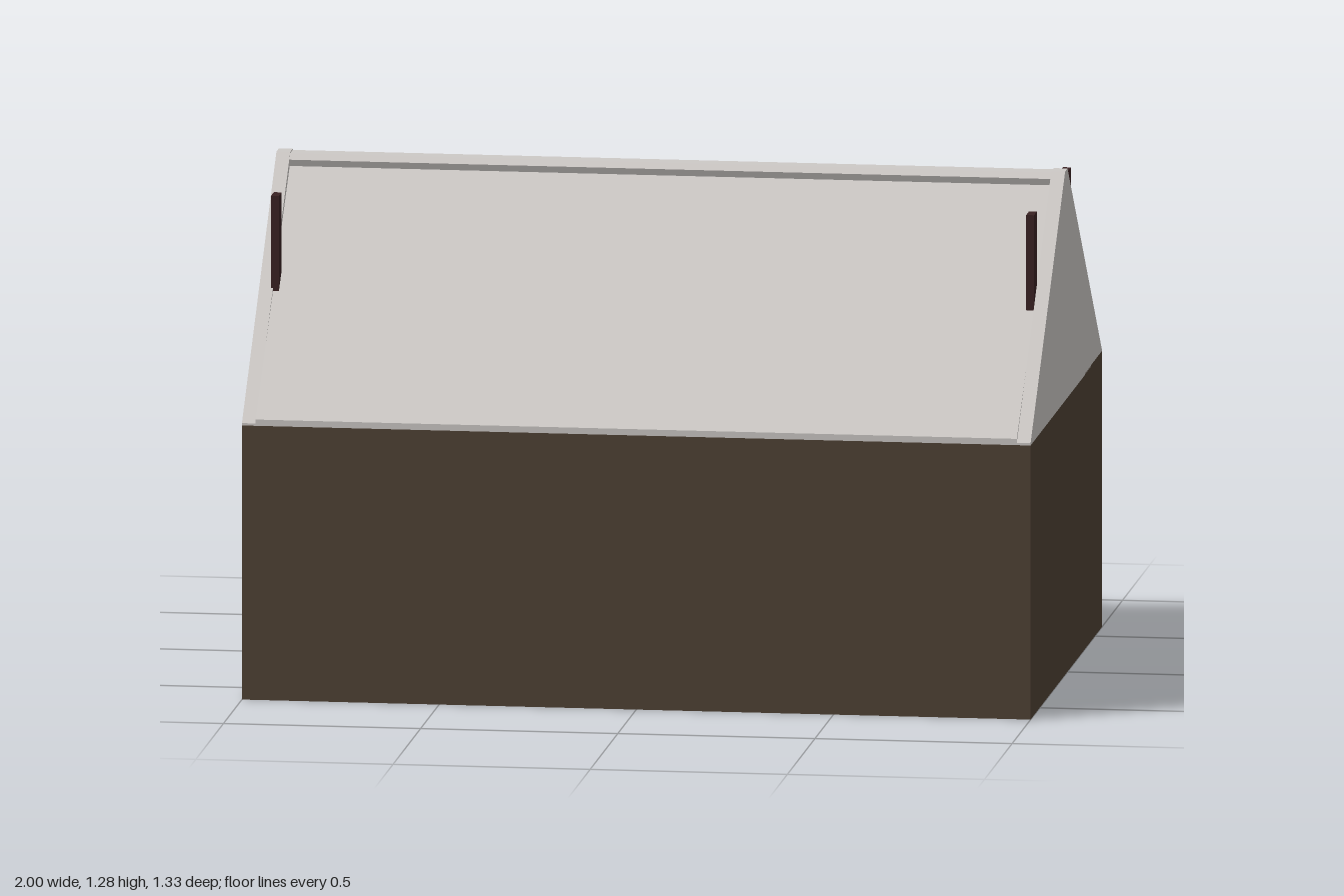
import * as THREE from 'three';

const mat = (name, color) => {
  const m = new THREE.MeshStandardMaterial({ color });
  m.name = name;
  return m;
};

export function createModel() {
  const house = new THREE.Group();
  house.name = 'house';
  const wall = mat('brown wall', 0x504235);
  const roof = mat('light grey roof', 0xcdc9c6);
  const chimneyMat = mat('dark red chimney', 0x3a2223);
  const floorMat = mat('dark floor', 0x402c0a);
  const casingMat = mat('window casing', 0x584432);
  const sashMat = mat('dark sash', 0x382b22);
  const glass = mat('blue grey glass', 0x71808a);

  const add = (parent, name, geometry, material, x = 0, y = 0, z = 0) => {
    const mesh = new THREE.Mesh(geometry, material);
    mesh.name = name;
    mesh.position.set(x, y, z);
    parent.add(mesh);
    return mesh;
  };
  const box = (parent, name, w, h, d, material, x, y, z) =>
    add(parent, name, new THREE.BoxGeometry(w, h, d), material, x, y, z);
  const rect = (w, h, Type = THREE.Shape) => new Type([
    [-w / 2, -h / 2], [w / 2, -h / 2], [w / 2, h / 2], [-w / 2, h / 2],
  ].map(p => new THREE.Vector2(...p)));
  const frame = (w, h, t, depth) => {
    const s = rect(w, h);
    s.holes.push(rect(w - 2 * t, h - 2 * t, THREE.Path));
    return new THREE.ExtrudeGeometry(s, { depth, bevelEnabled: false });
  };

  // Hollow walls with a slightly raised floor
  const midZ = 0.0175, depthZ = 1.295;
  add(house, 'walls', frame(2, depthZ, 0.02, 0.705).rotateX(-Math.PI / 2), wall, 0, 0, midZ);
  box(house, 'floor', 1.97, 0.02, 1.265, floorMat, 0, 0.02, midZ);

  // Roof: profiles run (z, y) and are swept along x
  const sweep = (name, points, x0, x1) => {
    const s = new THREE.Shape(points.map(([z, y]) => new THREE.Vector2(-z, y)));
    const g = new THREE.ExtrudeGeometry(s, { depth: x1 - x0, bevelEnabled: false });
    add(house, name, g.rotateY(Math.PI / 2), roof, x0);
  };
  const mirrored = half => [...half, ...half.map(([z, y]) => [2 * midZ - z, y]).reverse()];
  const verge = mirrored([[0.665, 0.70], [0.665, 0.706], [0.04, 1.285]]);
  sweep('gableLeft', verge, 0.965, 1);
  sweep('gableRight', verge, -1, -0.965);
  // Sunken slopes between the verges, with a raised ridge cap
  sweep('roofSlopes', mirrored([
    [0.665, 0.70], [0.665, 0.716], [0.049, 1.251], [0.055, 1.268], [0.04, 1.282],
  ]), -0.965, 0.965);

  // Slim chimneys
  for (const [x, z] of [[-0.96, 0.327], [0.955, 0.327], [0.955, -0.29]]) {
    box(house, 'chimney', 0.02, 0.25, 0.052, chimneyMat, x, 1.105, z);
  }

  // Flush side door
  box(house, 'door', 0.008, 0.52, 0.27, wall, -1, 0.262, -0.37);

  // Back windows, built facing +z and turned round
  const makeWindow = x => {
    const w = new THREE.Group();
    w.name = 'window';
    w.position.set(x, 0.3725, -0.63);
    w.rotation.y = Math.PI;
    add(w, 'outerCasing', frame(0.295, 0.315, 0.026, 0.036), casingMat);
    add(w, 'innerCasing', frame(0.245, 0.265, 0.014, 0.022), sashMat);
    box(w, 'glass', 0.22, 0.24, 0.006, glass, 0, 0, 0.003);
    box(w, 'mullion', 0.024, 0.24, 0.024, casingMat, 0, 0, 0.012);
    box(w, 'transom', 0.22, 0.018, 0.022, casingMat, 0, 0.042, 0.011);
    for (const s of [-1, 1]) {
      add(w, 'upperSash', frame(0.098, 0.068, 0.009, 0.014), sashMat, s * 0.06, 0.085, 0);
      add(w, 'lowerSash', frame(0.098, 0.152, 0.009, 0.014), sashMat, s * 0.06, -0.043, 0);
    }
    house.add(w);
  };
  [-0.4425, 0.3475].forEach(makeWindow);

  return house;
}
